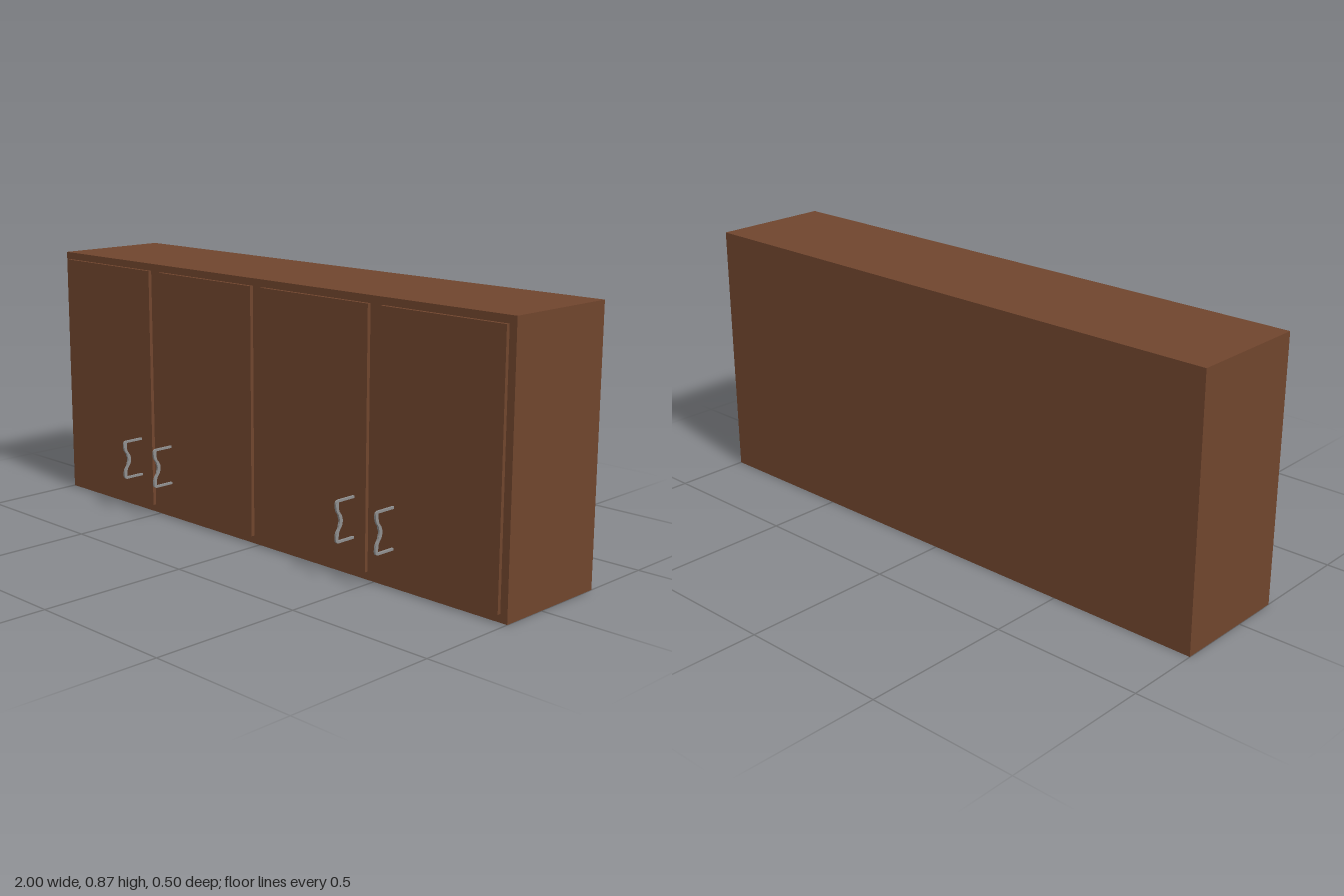
import * as THREE from 'three';

export function createModel() {
  const wood = new THREE.MeshStandardMaterial({ color: 0x70452d });
  wood.name = 'brown wood';
  const metal = new THREE.MeshStandardMaterial({ color: 0x8f8f8f });
  metal.name = 'grey metal';

  const model = new THREE.Group();
  model.name = 'wallCabinet';

  const addBox = (name, x0, x1, y0, y1, z0, z1) => {
    const mesh = new THREE.Mesh(new THREE.BoxGeometry(x1 - x0, y1 - y0, z1 - z0), wood);
    mesh.position.set((x0 + x1) / 2, (y0 + y1) / 2, (z0 + z1) / 2);
    mesh.name = name;
    model.add(mesh);
  };

  // Cabinet body
  addBox('cabinetBody', -1, 1, 0, 0.867, -0.248, 0.158);

  // Four slab doors
  [-0.752, -0.251, 0.248, 0.749].forEach((x, i) =>
    addBox(`door${i + 1}`, x - 0.226, x + 0.226, 0.026, 0.843, 0.157, 0.17));

  // Handle outline: shape x is the distance forward, shape y is height from the middle
  const s = new THREE.Shape();
  s.moveTo(0.168, 0.0675);
  s.lineTo(0.236, 0.0675);
  s.quadraticCurveTo(0.249, 0.0675, 0.249, 0.054);
  s.bezierCurveTo(0.249, 0.022, 0.236, 0.03, 0.235, 0.012);
  s.bezierCurveTo(0.231, 0.006, 0.231, -0.006, 0.235, -0.012);
  s.bezierCurveTo(0.236, -0.03, 0.249, -0.022, 0.249, -0.054);
  s.quadraticCurveTo(0.249, -0.0675, 0.236, -0.0675);
  s.lineTo(0.168, -0.0675);
  s.lineTo(0.168, -0.06);
  s.lineTo(0.237, -0.06);
  s.bezierCurveTo(0.239, -0.022, 0.228, -0.03, 0.222, -0.012);
  s.bezierCurveTo(0.219, -0.005, 0.219, 0.005, 0.222, 0.012);
  s.bezierCurveTo(0.228, 0.03, 0.239, 0.022, 0.237, 0.06);
  s.lineTo(0.168, 0.06);
  s.closePath();

  const width = 0.007;
  const handleGeometry = new THREE.ExtrudeGeometry(s, { depth: width, bevelEnabled: false, curveSegments: 8 });
  handleGeometry.translate(0, 0, -width / 2);
  handleGeometry.rotateY(-Math.PI / 2);

  // Handles, paired across the gaps between doors
  [-0.585, -0.425, 0.425, 0.584].forEach((x, i) => {
    const handle = new THREE.Mesh(handleGeometry, metal);
    handle.position.set(x, 0.19, 0);
    handle.name = `handle${i + 1}`;
    model.add(handle);
  });

  return model;
}
